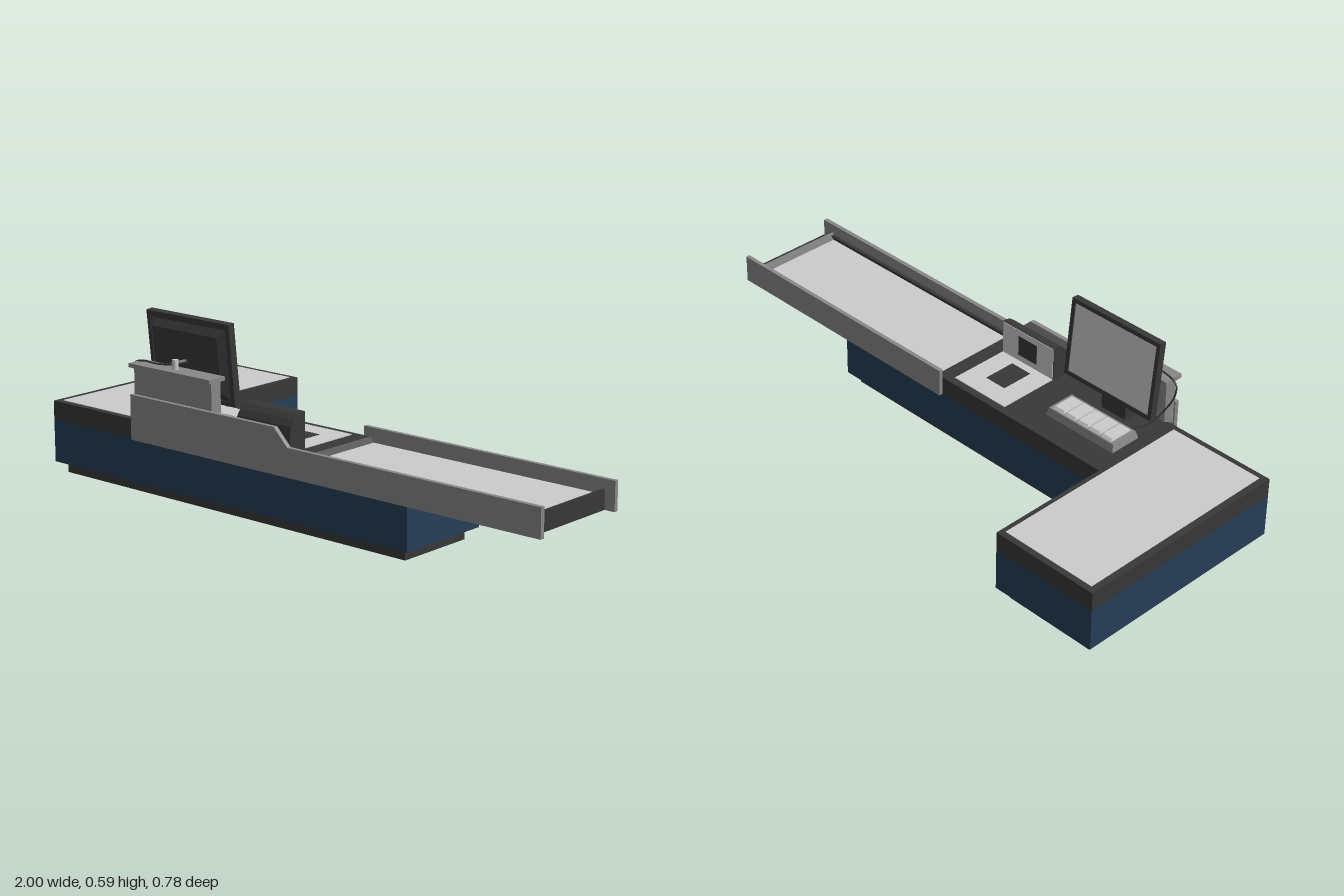
import * as THREE from 'three';

const mat = (color) => new THREE.MeshStandardMaterial({ color, flatShading: true });
const DARK = mat(0x383838), BLUE = mat(0x263e58), LIGHT = mat(0xcccccc), GREY = mat(0x888888);

export function createModel() {
  const root = new THREE.Group();

  const add = (name, geo, material, parent = root) => {
    const m = new THREE.Mesh(geo, material);
    m.name = name;
    parent.add(m);
    return m;
  };
  // box given by its limits on each axis
  const box = (name, [x0, x1], [y0, y1], [z0, z1], material, parent) => {
    const g = new THREE.BoxGeometry(x1 - x0, y1 - y0, z1 - z0);
    g.translate((x0 + x1) / 2, (y0 + y1) / 2, (z0 + z1) / 2);
    return add(name, g, material, parent);
  };
  // box whose +y end is drawn in by the given inset
  const taper = (w, h, d, ix, iz) => {
    const g = new THREE.BoxGeometry(w, h, d);
    const p = g.attributes.position;
    for (let i = 0; i < p.count; i++) {
      if (p.getY(i) > 0) {
        p.setX(i, p.getX(i) - Math.sign(p.getX(i)) * ix);
        p.setZ(i, p.getZ(i) - Math.sign(p.getZ(i)) * iz);
      }
    }
    g.computeVertexNormals();
    return g;
  };
  const shape = (pts) => new THREE.Shape(pts.map(([x, y]) => new THREE.Vector2(x, y)));
  const extrude = (pts, depth) =>
    new THREE.ExtrudeGeometry(shape(pts), { depth, bevelEnabled: false });
  // (x, y) profile running from z0 to z1
  const alongZ = (pts, z0, z1) => extrude(pts, z1 - z0).translate(0, 0, z0);
  // (z, y) profile running from x0 to x1
  const alongX = (pts, x0, x1) =>
    extrude(pts.map(([z, y]) => [-z, y]), x1 - x0).rotateY(Math.PI / 2).translate(x0, 0, 0);
  // L-shaped slab: long counter plus wing to the back
  const slab = (name, [xl, xi, xr], [zb, zi, zf], y0, y1, material) => {
    const pts = [[xl, -zf], [xr, -zf], [xr, -zi], [xi, -zi], [xi, -zb], [xl, -zb]];
    add(name, extrude(pts, y1 - y0).rotateX(-Math.PI / 2).translate(0, y0, 0), material);
  };

  // Cabinet
  slab('plinth', [-0.97, -0.65, 0.48], [-0.36, 0.07, 0.347], 0, 0.037, DARK);
  slab('cabinet', [-1, -0.62, 0.51], [-0.39, 0.04, 0.375], 0.037, 0.18, BLUE);
  slab('counterTop', [-1, -0.62, 0.06], [-0.39, 0.04, 0.375], 0.18, 0.243, DARK);
  box('wingInlay', [-0.977, -0.637], [0.24, 0.245], [-0.37, 0.355], LIGHT);

  // Conveyor
  box('conveyorBase', [0.06, 0.965], [0.18, 0.223], [0.04, 0.375], DARK);
  box('conveyorBelt', [0.085, 0.945], [0.215, 0.226], [0.041, 0.362], LIGHT);
  box('conveyorFrontRail', [0.06, 0.965], [0.22, 0.236], [0.362, 0.375], DARK);
  add('conveyorNearEnd', alongZ([[0.06, 0.22], [0.095, 0.22], [0.095, 0.226], [0.08, 0.243], [0.06, 0.243]], 0.04, 0.375), DARK);
  add('conveyorFarEnd', alongZ([[0.937, 0.22], [0.965, 0.22], [0.965, 0.243], [0.957, 0.243], [0.937, 0.226]], 0.04, 0.375), DARK);

  // Side walls
  add('frontPanel', alongZ([[-0.62, 0.18], [1, 0.18], [1, 0.273], [0.055, 0.273],
    [0, 0.328], [-0.62, 0.328]], 0.375, 0.39), GREY);
  box('backWall', [0.055, 1], [0.18, 0.273], [0.026, 0.04], GREY);

  // Raised shelf behind the monitor
  add('shelfColumn', alongX([[0.375, 0.25], [0.375, 0.416], [0.334, 0.416], [0.334, 0.272]], -0.615, -0.275), GREY);
  box('shelfCap', [-0.625, -0.27], [0.416, 0.429], [0.32, 0.39], GREY);

  // Small card reader pin on the shelf
  add('pinPost', new THREE.CylinderGeometry(0.01, 0.01, 0.032, 16), LIGHT).position.set(-0.45, 0.445, 0.355);
  box('pinPlate', [-0.455, -0.445], [0.449, 0.453], [0.31, 0.37], GREY);

  // Cable from the pin round the shelf and down to the keypad
  const path = new THREE.CatmullRomCurve3([
    [-0.44, 0.446, 0.305], [-0.47, 0.438, 0.33], [-0.53, 0.434, 0.35], [-0.6, 0.434, 0.35],
    [-0.642, 0.42, 0.345], [-0.645, 0.38, 0.34], [-0.628, 0.335, 0.325],
    [-0.6, 0.285, 0.285], [-0.56, 0.262, 0.24],
  ].map((p) => new THREE.Vector3(...p)));
  add('cable', new THREE.TubeGeometry(path, 48, 0.003, 8), DARK);

  // Monitor, screen facing the back, leaning towards the front at the top
  const monitor = new THREE.Group();
  monitor.name = 'monitor';
  monitor.position.set(-0.45, 0.455, 0.276);
  monitor.rotation.x = 0.1;
  root.add(monitor);
  const W = 0.18, H = 0.134;
  const rim = shape([[-W, -H], [W, -H], [W, H], [-W, H]]);
  const w = W - 0.014, h = H - 0.014;
  rim.holes.push(new THREE.Path([[-w, -h], [-w, h], [w, h], [w, -h]].map((p) => new THREE.Vector2(...p))));
  add('monitorFrame', new THREE.ExtrudeGeometry(rim, { depth: 0.025, bevelEnabled: false }).translate(0, 0, -0.0125), DARK, monitor);
  box('screen', [-w, w], [-h, h], [-0.009, -0.004], LIGHT, monitor);
  box('monitorBack', [-w, w], [-h, h], [-0.004, 0.009], DARK, monitor);
  add('monitorHousing', taper(0.32, 0.02, 0.225, 0.02, 0.022).rotateX(Math.PI / 2), DARK, monitor).position.z = 0.019;
  box('monitorStand', [-0.5, -0.4], [0.243, 0.36], [0.285, 0.325], DARK);

  // Keypad with five wide keys
  add('keypadBase', taper(0.28, 0.026, 0.115, 0.006, 0.007), GREY).position.set(-0.45, 0.256, 0.189);
  for (let i = 0; i < 5; i++) {
    add('key', taper(0.044, 0.009, 0.09, 0.003, 0.008), LIGHT).position.set(-0.55 + i * 0.05, 0.2725, 0.188);
  }

  // Scanner: flat plate and upright head, each with a dark window
  box('scannerPlate', [-0.195, 0.025], [0.24, 0.246], [0.065, 0.28], LIGHT);
  box('scannerPlateWindow', [-0.125, -0.045], [0.244, 0.247], [0.135, 0.25], DARK);
  add('scannerHead', alongX([[0.28, 0.243], [0.348, 0.243], [0.348, 0.3], [0.342, 0.322],
    [0.328, 0.342], [0.31, 0.356], [0.295, 0.361], [0.28, 0.361]], -0.197, 0.027), DARK);
  box('scannerFace', [-0.195, 0.025], [0.245, 0.359], [0.278, 0.282], LIGHT);
  box('scannerFaceWindow', [-0.125, -0.045], [0.268, 0.338], [0.2765, 0.28], DARK);

  return root;
}
